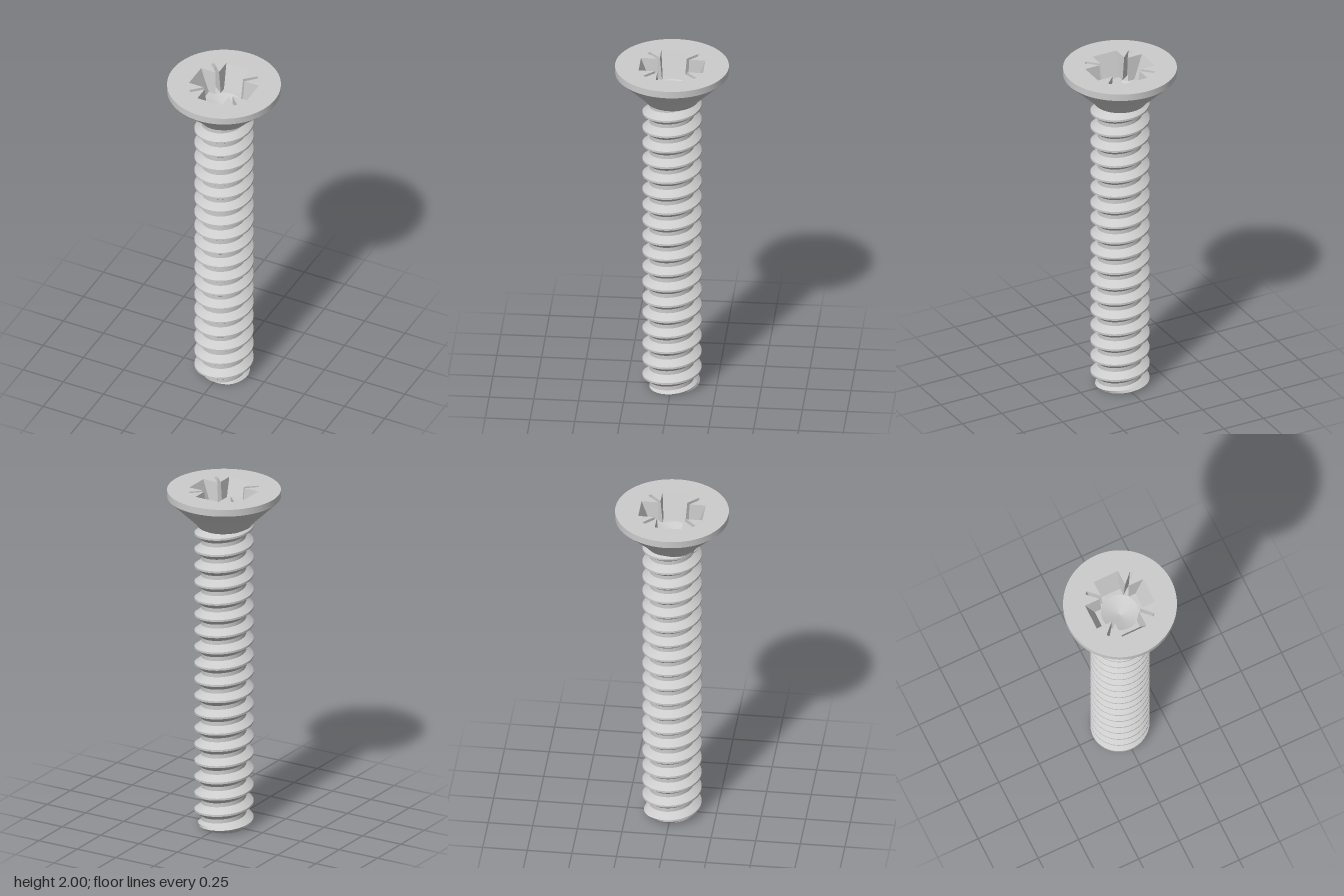
import * as THREE from 'three';
import { toCreasedNormals } from 'three/addons/utils/BufferGeometryUtils.js';

const material = new THREE.MeshStandardMaterial({ color: 0xcccccc });
const TOP = 2, HEAD_R = 0.317;

function part(name, geometry, crease = 0.5) {
  const mesh = new THREE.Mesh(toCreasedNormals(geometry, crease), material);
  mesh.name = name;
  return mesh;
}

function meshFrom(positions, indices) {
  const g = new THREE.BufferGeometry();
  g.setAttribute('position', new THREE.Float32BufferAttribute(positions, 3));
  g.setIndex(indices);
  return g;
}

// Right-handed helical thread, cut flat at both ends and chamfered at the tip
function threadGeometry() {
  const pitch = 0.097, phase = -0.014, root = 0.125, crest = 0.165;
  const end = 1.795, segments = 72;
  const radius = (y, turn) => {
    const t = (y - phase) / pitch - turn;
    const d = Math.abs(t - Math.round(t)); // distance from the crest, in turns
    const k = THREE.MathUtils.clamp((d - 0.06) / 0.32, 0, 1);
    return Math.min(THREE.MathUtils.lerp(crest, root, k), 0.138 + y);
  };
  const rows = [];
  for (let k = -2; k <= 19; k++)
    for (const f of [-0.06, 0.06, 0.22, 0.38, 0.62, 0.78]) rows.push(k + f);

  const positions = [], indices = [], n = segments + 1;
  for (let i = 0; i < n; i++) positions.push(0, 0, 0); // centre of the flat tip
  for (const row of rows)
    for (let i = 0; i < n; i++) {
      const turn = i / segments, a = turn * Math.PI * 2;
      const y = THREE.MathUtils.clamp(phase + pitch * (row + turn), 0, end);
      const r = radius(y, turn);
      positions.push(r * Math.cos(a), y, -r * Math.sin(a));
    }
  for (let j = 0; j < rows.length; j++)
    for (let i = 0; i < segments; i++) {
      const a = j * n + i, b = a + 1, c = b + n, d = a + n;
      indices.push(a, b, c, a, c, d);
    }
  return meshFrom(positions, indices);
}

// Cross outline with a thin diagonal slot in each corner, counter-clockwise
function recessOutline(length, width, corner, slotEnd, slotHalf) {
  const d = slotEnd * Math.SQRT1_2, t = slotHalf * Math.SQRT1_2;
  const quarter = [
    [length, width], [width + corner, width], [d + t, d - t],
    [d - t, d + t], [width, width + corner], [width, length],
  ];
  const points = [];
  for (let q = 0; q < 4; q++)
    for (const [x, y] of quarter)
      points.push(new THREE.Vector2(x, y).rotateAround(new THREE.Vector2(), q * Math.PI / 2));
  return points;
}

// Horizontal sheet facing up
function sheet(outer, hole, y) {
  outer.holes.push(hole);
  return new THREE.ShapeGeometry(outer, 96).rotateX(-Math.PI / 2).translate(0, y, 0);
}

function circlePath(r) {
  return new THREE.Path().absarc(0, 0, r, 0, Math.PI * 2, true);
}

export function createModel() {
  const model = new THREE.Group();
  model.name = 'countersunkScrew';

  model.add(part('threadedShank', threadGeometry()));

  // Neck, countersunk cone and rim
  const profile = [[0.12, 1.775], [0.148, 1.79], [0.162, 1.81], [HEAD_R, 1.96], [HEAD_R, TOP]];
  model.add(part('head', new THREE.LatheGeometry(
    profile.map(([r, y]) => new THREE.Vector2(r, y)), 96)));

  // Driver recess
  const floorY = TOP - 0.14, pitR = 0.105;
  const rim = recessOutline(0.18, 0.075, 0.014, 0.2, 0.01);
  const base = recessOutline(0.126, 0.063, 0.022, 0.168, 0.007);

  const face = new THREE.Shape().absarc(0, 0, HEAD_R, 0, Math.PI * 2, false);
  model.add(part('headFace', sheet(face, new THREE.Path(rim), TOP)));

  const recess = new THREE.Group();
  recess.name = 'driverRecess';
  model.add(recess);

  const positions = [], indices = [], n = rim.length;
  for (const p of rim) positions.push(p.x, TOP, -p.y);
  for (const p of base) positions.push(p.x, floorY, -p.y);
  for (let i = 0; i < n; i++) {
    const j = (i + 1) % n;
    indices.push(i, j, j + n, i, j + n, i + n);
  }
  recess.add(part('recessWalls', meshFrom(positions, indices), 0.2));
  recess.add(part('recessFloor', sheet(new THREE.Shape(base), circlePath(pitR), floorY)));
  recess.add(part('recessPit', new THREE.LatheGeometry(
    [new THREE.Vector2(pitR, floorY), new THREE.Vector2(0, floorY - 0.04)], 96)));

  return model;
}
